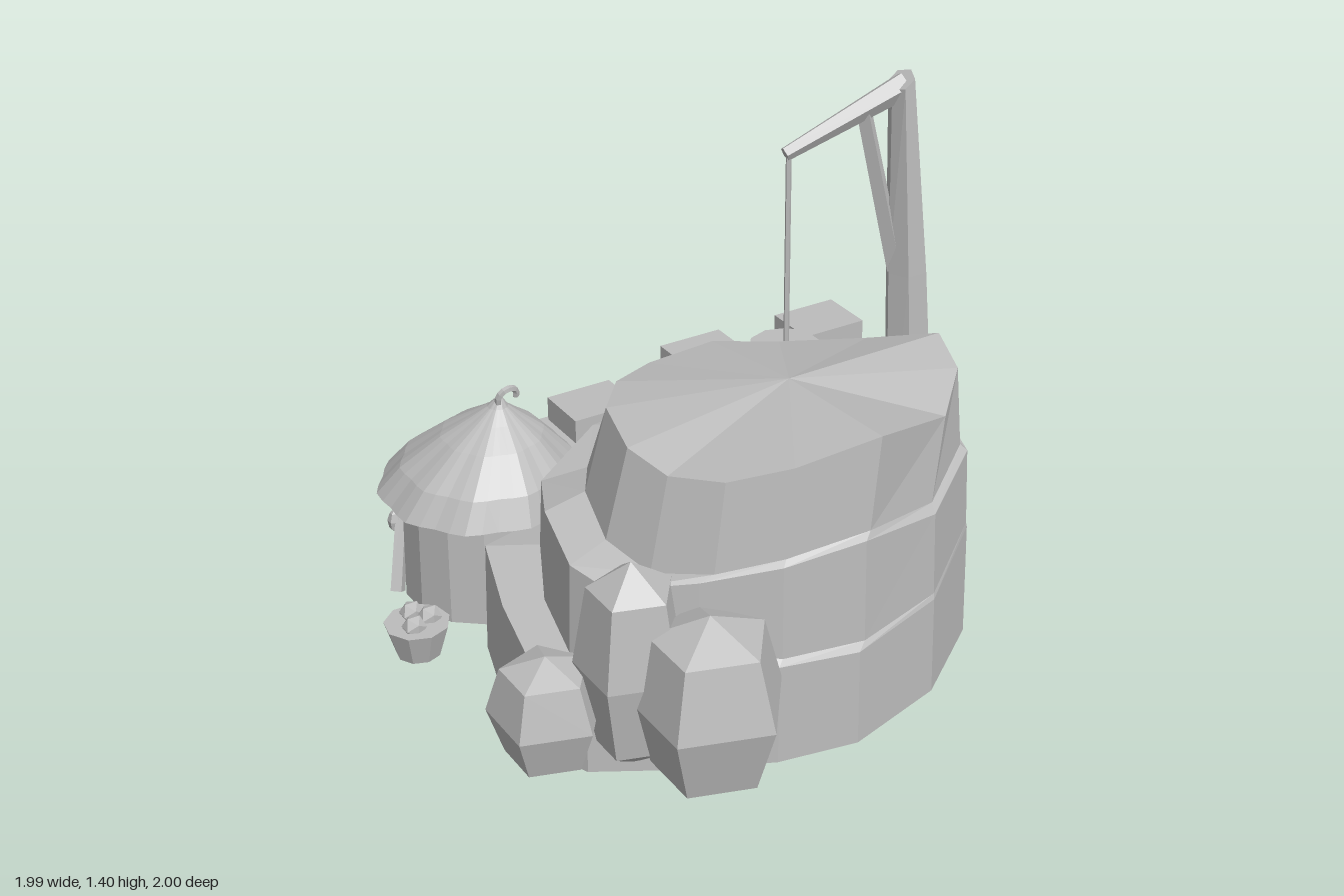
import * as THREE from 'three';

export function createModel() {
  const model = new THREE.Group();
  const grey = new THREE.MeshStandardMaterial({ color: 0xbcbcbc, flatShading: true, side: THREE.DoubleSide });
  grey.name = 'plain grey';

  function add(name, geometry, x = 0, y = 0, z = 0, parent = model) {
    const mesh = new THREE.Mesh(geometry, grey);
    mesh.name = name;
    mesh.position.set(x, y, z);
    parent.add(mesh);
    return mesh;
  }
  // tapered straight bar between two points
  function bar(name, from, to, r0, r1, sides, parent = model) {
    const a = new THREE.Vector3(...from), b = new THREE.Vector3(...to);
    const dir = b.clone().sub(a);
    const mesh = add(name, new THREE.CylinderGeometry(r1, r0, dir.length(), sides), 0, 0, 0, parent);
    mesh.position.copy(a).add(b).multiplyScalar(0.5);
    mesh.quaternion.setFromUnitVectors(new THREE.Vector3(0, 1, 0), dir.normalize());
  }
  const lathe = (points, sides, start = 0) =>
    new THREE.LatheGeometry(points.map(p => new THREE.Vector2(...p)), sides, start);
  // skin through closed rings of equal length, closed with a tip
  function loft(rings, tip) {
    const n = rings[0].length, pos = [...rings.flat(2), ...tip], index = [];
    rings.forEach((ring, r) => {
      for (let i = 0; i < n; i++) {
        const a = r * n + i, b = r * n + (i + 1) % n;
        if (r === rings.length - 1) index.push(a, rings.length * n, b);
        else index.push(a, a + n, b, b, a + n, b + n);
      }
    });
    const g = new THREE.BufferGeometry();
    g.setAttribute('position', new THREE.Float32BufferAttribute(pos, 3));
    g.setIndex(index);
    const flat = g.toNonIndexed();
    flat.computeVertexNormals();
    return flat;
  }

  // terraced rock: plan outlines [x, z], clockwise from the back
  const low = [[-.09, -.34], [.215, -.19], [.42, .02], [.595, .27], [.475, .545], [.22, .74], [-.09, .83],
    [-.32, .79], [-.56, .68], [-.77, .56], [-.85, .37], [-.81, .16], [-.73, -.1], [-.34, -.25]];
  const mid = [[-.08, -.23], [.19, -.1], [.39, .08], [.535, .35], [.465, .545], [.22, .73], [-.06, .805],
    [-.3, .775], [-.5, .68], [-.7, .56], [-.75, .44], [-.7, .21], [-.6, 0], [-.34, -.17]];
  const high = [[-.04, -.1], [.16, -.01], [.35, .15], [.49, .36], [.445, .525], [.23, .69], [-.035, .78],
    [-.28, .755], [-.45, .68], [-.57, .56], [-.61, .4], [-.56, .2], [-.46, .03], [-.25, -.1]];
  const top = [[-.01, -.045], [.16, .04], [.35, .2], [.48, .36], [.435, .51], [.3, .64], [0, .77],
    [-.25, .745], [-.41, .67], [-.5, .535], [-.54, .4], [-.49, .2], [-.385, .07], [-.235, -.01]];
  const y1 = [.3, .3, .28, .32, .35, .3, .29, .3, .35, .32, .29, .31, .34, .3];
  const y2 = [.57, .56, .55, .6, .6, .565, .61, .59, .56, .54, .57, .6, .56, .58];
  const y3 = [.81, .8, .83, .88, .85, .8, .89, .86, .83, .81, .84, .85, .84, .82];
  const ring = (plan, ys, lift = 0, grow = 1) => plan.map(([x, z], i) =>
    [-.02 + (x + .02) * grow, ys[i] + lift, .365 + (z - .365) * grow]);
  add('terracedRock', loft([ring(low, y1.map(() => 0)), ring(low, y1, 0, .99), ring(mid, y1, .015),
    ring(mid, y2, 0, .985), ring(high, y2, .015), ring(top, y3)], [-.02, .88, .365]));

  // faceted bushes: x, z, base, height, radius
  [[-.53, .79, .01, .53, .218], [-.655, .61, .02, .625, .158], [-.85, .495, .01, .35, .163]]
    .forEach(([x, z, y, h, r]) => add('bush', lathe(
      [[0, 0], [r * .72, h * .13], [r, h * .5], [r * .75, h * .87], [0, h]], 5, Math.PI / 2), x, y, z));

  // hut
  const hut = new THREE.Group();
  hut.name = 'hut';
  hut.position.set(-.57, 0, -.42);
  model.add(hut);
  add('hutWall', new THREE.CylinderGeometry(.235, .243, .36, 14), 0, .18, 0, hut);
  const roof = lathe([[.24, .35], [.303, .34], [.25, .425], [.15, .52], [.075, .575], [.03, .61], [0, .65]], 40);
  const p = roof.attributes.position;
  for (let i = 0; i < p.count; i++) {
    const x = p.getX(i), y = p.getY(i), z = p.getZ(i);
    const wave = 1 + .025 * Math.cos(10 * Math.atan2(x, z)), lean = (y - .34) / .31;
    p.setXYZ(i, x * wave * .98 + .04 * lean, y, z * wave + .07 * lean);
  }
  roof.computeVertexNormals();
  add('hutRoof', roof, 0, 0, 0, hut);
  add('roofCurl', new THREE.TubeGeometry(new THREE.CatmullRomCurve3([[.035, .6, .07], [.03, .645, .08],
    [.05, .665, .085], [.085, .655, .075], [.09, .63, .07]].map(q => new THREE.Vector3(...q))), 10, .01, 5),
  0, 0, 0, hut);
  // arched door frame facing the back
  const outline = (path, w, y) =>
    path.moveTo(-w, y).lineTo(w, y).lineTo(w, .15).absarc(0, .15, w, 0, Math.PI);
  const arch = outline(new THREE.Shape(), .09, 0);
  arch.holes.push(outline(new THREE.Path(), .07, .01));
  add('doorFrame', new THREE.ExtrudeGeometry(arch, { depth: .06, bevelEnabled: false, curveSegments: 5 }),
    0, .005, -.255, hut);
  // slanted planks and lanterns either side of the door
  for (const s of [-1, 1]) {
    const at = (deg, r, y) => [s * r * Math.sin(deg * Math.PI / 180), y, -r * Math.cos(deg * Math.PI / 180)];
    bar('wallPlank', at(72, .265, 0), at(37, .25, .34), .024, .02, 4, hut);
    add('lantern', lathe([[0, -.04], [.02, -.025], [.024, 0], [.015, .025], [0, .04]], 6), ...at(52, .265, .19), hut);
  }

  // fruit basket
  add('basket', new THREE.CylinderGeometry(.095, .065, .1, 9), -.905, .05, -.185);
  [[-.9, -.23], [-.925, -.16], [-.865, -.185]].forEach(([x, z]) =>
    add('fruit', new THREE.IcosahedronGeometry(.036, 0), x, .105, z));

  // crane: curved hexagonal post, arm, brace, rope and bucket
  const hex = (x, y, rx, rz, tilt = 0) => Array.from({ length: 6 }, (_, i) => {
    const a = i * Math.PI / 3;
    return [x + rx * Math.cos(a), y + tilt * Math.cos(a), -.245 + rz * Math.sin(a)];
  });
  add('cranePost', loft([hex(.85, 0, .088, .084), hex(.808, .75, .066, .068),
    hex(.765, 1.37, .033, .05, .025)], [.765, 1.37, -.245]));
  const foot = add('cranePostFoot', new THREE.CircleGeometry(1, 6), .85, .001, -.245);
  foot.scale.set(.088, .084, 1);
  foot.rotation.x = Math.PI / 2;
  bar('craneArm', [.78, 1.352, -.25], [.4, 1.195, -.305], .042, .022, 5);
  bar('craneBrace', [.77, .76, -.25], [.65, 1.29, -.268], .03, .026, 4);
  bar('rope', [.41, .55, -.3], [.41, 1.2, -.3], .009, .009, 5);
  add('bucket', new THREE.CylinderGeometry(.11, .078, .22, 10), .405, .465, -.3);

  // stacked crates: x, z, base height, total height
  [[.02, -.855, .15, .23], [.46, -.89, .2, .28], [.835, -.78, .25, .34]].forEach(([x, z, h, t]) => {
    add('crate', new THREE.BoxGeometry(.32, h, .22), x, h / 2, z);
    add('crateTop', new THREE.BoxGeometry(.225, t - h, .185), x + .02, (h + t) / 2, z);
  });
  return model;
}
